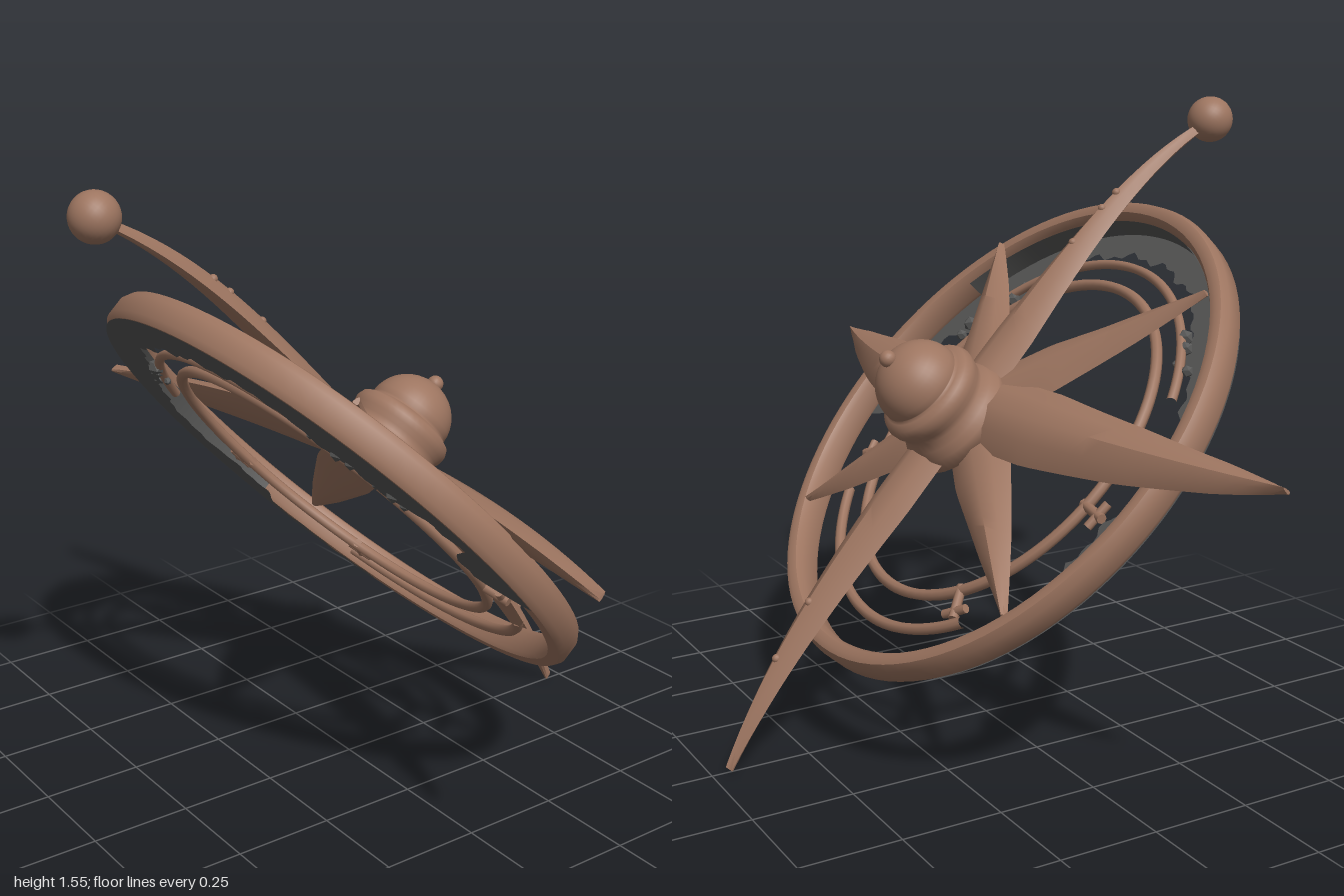
import * as THREE from 'three';
import { toCreasedNormals } from 'three/addons/utils/BufferGeometryUtils.js';

const bronze = new THREE.MeshStandardMaterial({ color: 0x9d7560 });
bronze.name = 'bronze';
const darkGrey = new THREE.MeshStandardMaterial({ color: 0x565655, side: THREE.DoubleSide });
darkGrey.name = 'darkGrey';

const deg = Math.PI / 180;

function add(parent, name, geometry, material, x = 0, y = 0, z = 0) {
  const mesh = new THREE.Mesh(geometry, material);
  mesh.name = name;
  mesh.position.set(x, y, z);
  parent.add(mesh);
  return mesh;
}

// Piecewise linear lookup in [[t, value], ...]
function lookup(table, t) {
  let i = 1;
  while (i < table.length - 1 && t > table[i][0]) i++;
  const [t0, a] = table[i - 1], [t1, b] = table[i];
  return a + (b - a) * (t - t0) / (t1 - t0);
}

// Tapered, drooping ray with a soft ridge on top and sharp side edges
function rayGeometry({ tip, rootY, droop, bend = 1, width, height }) {
  const steps = 24, pos = [], index = [];
  const centre = t => new THREE.Vector3(
    tip[0] * Math.pow(t, bend), rootY + (tip[1] - rootY) * Math.pow(t, droop), tip[2] * t);
  const up = new THREE.Vector3(0, 1, 0);
  const forward = new THREE.Vector3(tip[0], 0, tip[2]).normalize();
  const right = new THREE.Vector3().crossVectors(forward, up);
  for (let i = 0; i <= steps; i++) {
    const t = i / steps, w = lookup(width, t), h = height * (1 - 0.6 * t * t * t);
    const section = [[0, 0], [w * 0.55, -h * 0.25], [w, -h * 0.8], [w * 0.6, -h], [-w * 0.6, -h],
      [-w, -h * 0.8], [-w * 0.55, -h * 0.25]];
    for (const [s, v] of section) {
      pos.push(...centre(t).addScaledVector(right, s).addScaledVector(up, v).toArray());
    }
    if (i === steps) break;
    for (let k = 0; k < 7; k++) {
      const a = i * 7 + k, b = i * 7 + (k + 1) % 7;
      index.push(a, b, a + 7, b, b + 7, a + 7);
    }
  }
  // End cap at the tip
  const e = steps * 7;
  for (let k = 1; k < 6; k++) index.push(e, e + k, e + k + 1);
  const g = new THREE.BufferGeometry();
  g.setAttribute('position', new THREE.Float32BufferAttribute(pos, 3));
  g.setIndex(index);
  return toCreasedNormals(g, 0.6);
}

function lathe(points, segments = 64, start = 0, length = Math.PI * 2) {
  return new THREE.LatheGeometry(points.map(p => new THREE.Vector2(...p)), segments, start, length);
}

function flatTorus(radius, tube, start, arc) {
  return new THREE.TorusGeometry(radius, tube, 8, 96, arc * deg).rotateX(Math.PI / 2).rotateY(-start * deg);
}

// Flat arc between angles (degrees from +x towards +z) with a worn inner edge
function wornPlate(from, to, innerRadius, outerRadius) {
  const pos = [], index = [], n = 150;
  for (let i = 0; i <= n; i++) {
    const d = from + (to - from) * i / n, a = d * deg;
    const rough = 0.008 * Math.sin(d * 0.4) + 0.007 * Math.sin(d * 0.93 + 1);
    for (const r of [lookup(innerRadius, d) + rough, outerRadius]) pos.push(r * Math.cos(a), 0, r * Math.sin(a));
    if (i < n) index.push(i * 2, i * 2 + 2, i * 2 + 1, i * 2 + 1, i * 2 + 2, i * 2 + 3);
  }
  const g = new THREE.BufferGeometry();
  g.setAttribute('position', new THREE.Float32BufferAttribute(pos, 3));
  g.setIndex(index);
  g.computeVertexNormals();
  return g;
}

export function createModel() {
  const model = new THREE.Group();
  model.name = 'starOrnament';
  const tilted = new THREE.Group();
  tilted.name = 'tiltedStar';
  tilted.position.set(-0.035, 0.75, 0);
  tilted.rotation.z = -0.827;
  model.add(tilted);

  // Long rays: lower, upper (ends in a ball) and the two sides
  const longWidth = [[0, 0.08], [0.3, 0.083], [0.6, 0.056], [0.85, 0.029], [0.95, 0.014], [1, 0.004]];
  const neckWidth = [[0, 0.085], [0.2, 0.083], [0.37, 0.063], [0.5, 0.048], [0.65, 0.035], [0.81, 0.022], [0.93, 0.014], [1, 0.013]];
  const sideWidth = [[0, 0.1], [0.3, 0.1], [0.6, 0.072], [0.85, 0.037], [0.95, 0.017], [1, 0.004]];
  const shortWidth = [[0, 0.085], [0.35, 0.085], [0.7, 0.047], [0.95, 0.014], [1, 0.007]];
  add(tilted, 'lowerRay', rayGeometry({ tip: [1.049, 0.054, 0], rootY: 0.162, droop: 3.5, width: longWidth, height: 0.055 }), bronze);
  add(tilted, 'upperRay', rayGeometry({ tip: [-0.95, 0.053, 0], rootY: 0.16, droop: 4, width: neckWidth, height: 0.052 }), bronze);
  for (const s of [1, -1]) {
    const side = s > 0 ? 'left' : 'right';
    add(tilted, side + 'Ray', rayGeometry({
      tip: [-0.113, 0.01, s], rootY: 0.15, droop: 2, bend: 2, width: sideWidth, height: 0.06 }), bronze);
    // Short diagonal rays
    add(tilted, side + 'UpperShortRay', rayGeometry({
      tip: [-0.473, 0.065, s * 0.46], rootY: 0.135, droop: 1.2, width: shortWidth, height: 0.045 }), bronze);
    add(tilted, side + 'LowerShortRay', rayGeometry({
      tip: [0.398, 0.04, s * 0.52], rootY: 0.135, droop: 1.2, width: shortWidth, height: 0.045 }), bronze);
  }
  add(tilted, 'endBall', new THREE.SphereGeometry(0.058, 32, 20), bronze, -0.971, 0.037, 0);

  // Small rivets along the ridges
  for (const [x, y] of [[-0.65, 0.132], [-0.594, 0.138], [-0.477, 0.147], [0.62, 0.14], [0.773, 0.12]]) {
    add(tilted, 'rivet', new THREE.SphereGeometry(0.011, 12, 8), bronze, x, y, 0);
  }

  // Turned hub: flared foot, flange, dome and knob
  const hub = [[0, 0.07], [0.1, 0.07], [0.155, 0.1], [0.148, 0.135], [0.136, 0.155], [0.126, 0.175], [0.128, 0.19],
    [0.134, 0.205], [0.136, 0.222], [0.13, 0.238], [0.115, 0.247], [0.106, 0.25]];
  for (let i = 0; i <= 10; i++) {
    const a = i / 10 * Math.PI / 2;
    hub.push([0.11 * Math.cos(a), 0.255 + 0.105 * Math.sin(a)]);
  }
  add(tilted, 'hub', lathe(hub, 48), bronze, 0.047, 0, 0);
  add(tilted, 'hubKnob', new THREE.SphereGeometry(0.021, 16, 12), bronze, 0.052, 0.365, 0);

  // Outer ring with rounded edges
  const rim = [[0.655, -0.04], [0.685, -0.04], [0.697, -0.025], [0.698, 0.02], [0.688, 0.039], [0.675, 0.043],
    [0.658, 0.038], [0.648, 0.022], [0.65, -0.03], [0.655, -0.04]];
  add(tilted, 'outerRing', toCreasedNormals(lathe(rim, 96), 0.7), bronze);

  // Worn grey floor under the ring and grey lining on part of its inner wall
  const innerEdge = [[82, 0.64], [84, 0.53], [96, 0.53], [100, 0.62], [110, 0.6], [116, 0.52], [140, 0.52], [152, 0.575],
    [215, 0.575], [228, 0.53], [245, 0.56], [262, 0.585], [275, 0.56], [282, 0.535], [294, 0.55], [299, 0.645], [330, 0.665]];
  add(tilted, 'ringFloor', wornPlate(82, 330, innerEdge, 0.686), darkGrey, 0, -0.042, 0);
  add(tilted, 'ringLining', lathe([[0.645, -0.041], [0.645, 0.017]], 80, -205 * deg, 172 * deg), darkGrey);

  // Thin inner ring and broken middle arcs, with short struts
  add(tilted, 'innerRing', flatTorus(0.467, 0.014, 0, 360), bronze, 0, -0.022, 0);
  add(tilted, 'lowerArc', flatTorus(0.558, 0.014, -36, 92), bronze, 0, -0.025, 0);
  add(tilted, 'upperArc', flatTorus(0.535, 0.012, 130, 115), bronze, 0, -0.025, 0);
  for (const a of [-80, -33, 68]) {
    const holder = new THREE.Group();
    holder.name = 'strut';
    holder.rotation.y = -a * deg;
    tilted.add(holder);
    add(holder, 'strutBar', new THREE.CylinderGeometry(0.012, 0.012, 0.09, 8).rotateZ(Math.PI / 2), bronze, 0.5, -0.02, 0);
    add(holder, 'strutHook', new THREE.CylinderGeometry(0.011, 0.011, 0.07, 8).rotateX(Math.PI / 2), bronze, 0.525, -0.02, 0);
  }

  // Rough crumbs on the worn floor
  for (let i = 0; i < 12; i++) {
    const a = (i < 8 ? 114 + i * 4 : 192 + i * 4) * deg;
    const r = 0.535 + 0.02 * Math.sin(i * 2.4);
    add(tilted, 'crumb', new THREE.IcosahedronGeometry(0.016 + 0.006 * Math.sin(i * 1.7), 0), darkGrey,
      r * Math.cos(a), -0.032, r * Math.sin(a));
  }
  return model;
}
